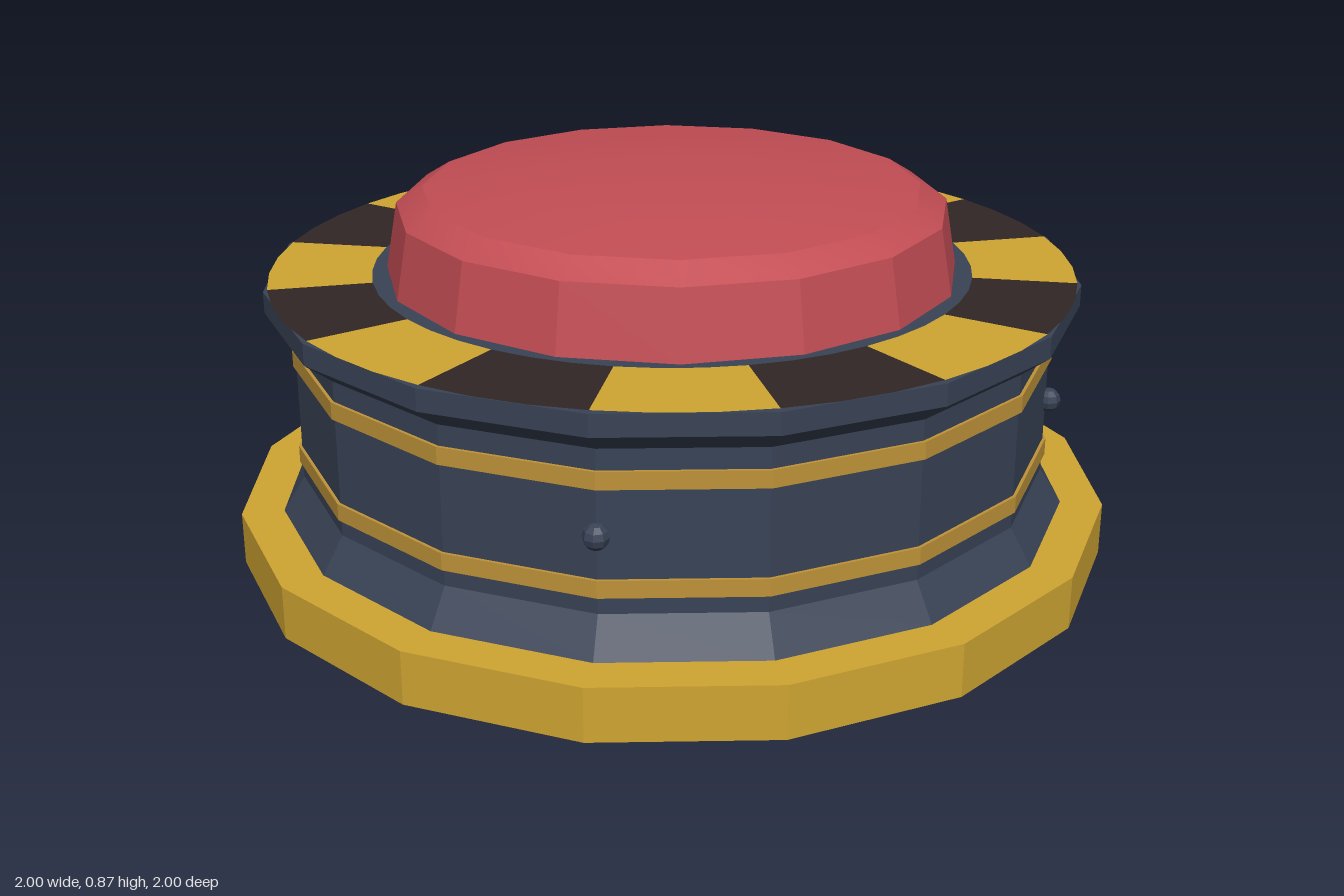
import * as THREE from 'three';
import { toCreasedNormals } from 'three/addons/utils/BufferGeometryUtils.js';

const SIDES = 16;
const STEP = (Math.PI * 2) / SIDES;

function material(name, color) {
  const m = new THREE.MeshStandardMaterial({ color });
  m.name = name;
  return m;
}

// Faceted solid of revolution; profile is [radius, height] from bottom to top
function turned(name, profile, mat, phase = 0) {
  const points = profile.map(([r, y]) => new THREE.Vector2(r, y));
  const geo = toCreasedNormals(new THREE.LatheGeometry(points, SIDES, phase), 0.3);
  const mesh = new THREE.Mesh(geo, mat);
  mesh.name = name;
  return mesh;
}

export function createModel() {
  const yellow = material('warningYellow', 0xcfa532);
  const brass = material('bandYellow', 0xbf9339);
  const navy = material('darkSlate', 0x394356);
  const dark = material('stripeDark', 0x312626);
  const red = material('buttonRed', 0xc24d54);

  const model = new THREE.Group();
  model.name = 'pushButton';

  // Foot plate
  model.add(turned('basePlate', [[0, 0], [1, 0], [1, 0.12], [0, 0.12]], yellow));

  // Housing with flared foot and overhanging rim
  model.add(turned('housing', [
    [0.905, 0.12], [0.855, 0.2], [0.855, 0.55],
    [0.915, 0.597], [0.915, 0.645], [0, 0.645],
  ], navy));

  // Thin bands around the housing
  for (const y of [0.237, 0.467]) {
    model.add(turned('band', [
      [0.85, y], [0.862, y], [0.862, y + 0.038], [0.85, y + 0.038],
    ], brass));
  }

  // Alternating hazard stripes on the rim
  const stripes = new THREE.Group();
  stripes.name = 'hazardStripes';
  for (let i = 0; i < SIDES; i++) {
    const geo = new THREE.RingGeometry(0.677, 0.906, 1, 1, i * STEP, STEP);
    geo.rotateX(-Math.PI / 2);
    const stripe = new THREE.Mesh(geo, i % 2 ? dark : yellow);
    stripe.name = i % 2 ? 'darkStripe' : 'yellowStripe';
    stripe.position.y = 0.649;
    stripes.add(stripe);
  }
  model.add(stripes);

  // Domed button, turned half a facet against the housing
  model.add(turned('button', [
    [0.648, 0.64], [0.62, 0.795], [0.56, 0.832],
    [0.37, 0.855], [0.2, 0.866], [0, 0.87],
  ], red, STEP / 2));

  // Four bolts on the diagonals
  for (let i = 0; i < 4; i++) {
    const a = Math.PI / 4 + (i * Math.PI) / 2;
    const bolt = new THREE.Mesh(
      toCreasedNormals(new THREE.SphereGeometry(0.028, 8, 6), 0.3), navy);
    bolt.name = 'bolt';
    bolt.position.set(Math.cos(a) * 0.861, 0.37, Math.sin(a) * 0.861);
    model.add(bolt);
  }

  return model;
}
